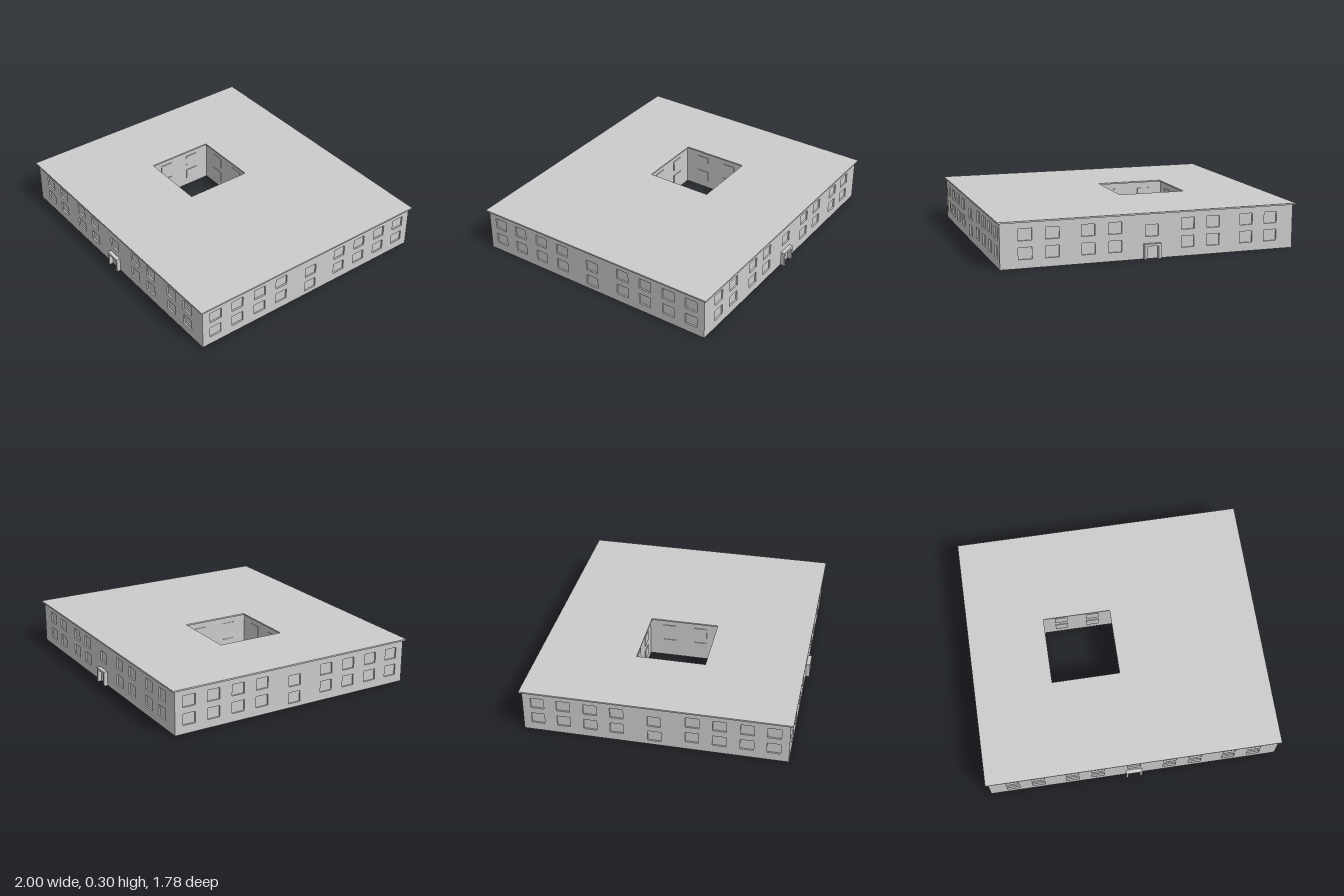
import * as THREE from 'three';

const WALL_H = 0.29, HALF_X = 0.985, HALF_Z = 0.866;
const WIN_W = 0.088, WIN_H = 0.075, RECESS = 0.01;
const material = new THREE.MeshStandardMaterial({ color: 0xcccccc, side: THREE.DoubleSide });

function part(name, geometry, x = 0, y = 0, z = 0) {
  const mesh = new THREE.Mesh(geometry, material);
  mesh.name = name;
  mesh.position.set(x, y, z);
  return mesh;
}

// Closed rectangle outline, used for shapes and holes
function rect(Type, x0, y0, x1, y1) {
  return new Type([[x0, y0], [x1, y0], [x1, y1], [x0, y1]].map(p => new THREE.Vector2(...p)));
}

// Box without its front (4) and, optionally, back (5) face
function openBox(w, h, d, dropped) {
  const box = new THREE.BoxGeometry(w, h, d);
  const index = Array.from(box.index.array);
  box.setIndex(index.filter((_, i) => !dropped.includes(Math.floor(i / 6))));
  box.clearGroups();
  return box;
}

// Doorway surround standing out from the wall plane z = 0
function makePortal() {
  const portal = new THREE.Group();
  portal.name = 'portal';
  const w = 0.11, h = 0.1, iw = 0.08, ih = 0.085, depth = 0.026;
  const face = rect(THREE.Shape, -w / 2, 0, w / 2, h);
  face.holes.push(rect(THREE.Path, -iw / 2, 0.0005, iw / 2, ih));
  portal.add(part('portalFace', new THREE.ShapeGeometry(face), 0, 0, depth));
  portal.add(part('portalSides', openBox(w, h, depth, [3, 4, 5]), 0, h / 2, depth / 2));
  portal.add(part('doorRecess', openBox(iw, ih, depth, [3, 4]), 0, ih / 2, depth / 2));
  return portal;
}

// Thin outer wall facing +z with recessed windows and an optional doorway
function outerWall(name, halfWidth, columns, centreRows, hasDoor) {
  const wall = new THREE.Group();
  wall.name = name;
  const shape = rect(THREE.Shape, -halfWidth, 0, halfWidth, WALL_H);
  const windows = centreRows.map(y => [0, y]);
  for (const x of columns)
    for (const side of [-1, 1])
      for (const y of [0.094, 0.212]) windows.push([side * x, y]);

  for (const [x, y] of windows) {
    shape.holes.push(rect(THREE.Path, x - WIN_W / 2, y - WIN_H / 2, x + WIN_W / 2, y + WIN_H / 2));
    wall.add(part('window', openBox(WIN_W, WIN_H, RECESS, [4]), x, y, -RECESS / 2));
  }
  if (hasDoor) {
    shape.holes.push(rect(THREE.Path, -0.055, 0.0005, 0.055, 0.1));
    wall.add(makePortal());
  }
  wall.add(part('wallSurface', new THREE.ShapeGeometry(shape)));
  return wall;
}

// Courtyard wall facing +z with shallow window panels
function courtyardWall(width) {
  const wall = new THREE.Group();
  wall.name = 'courtyardWall';
  wall.add(part('wallSurface', new THREE.PlaneGeometry(width, WALL_H), 0, WALL_H / 2));
  for (const x of [-0.11, 0.11])
    for (const y of [0.094, 0.212])
      wall.add(part('courtyardWindow', openBox(WIN_W, WIN_H, 0.005, [5]), x, y, 0.0025));
  return wall;
}

export function createModel() {
  const building = new THREE.Group();
  building.name = 'courtyardBuilding';

  // Outer walls: long walls with doors front and back, then the two sides
  for (const back of [0, 1]) {
    const long = outerWall(back ? 'backWall' : 'frontWall', HALF_X,
      [0.245, 0.42, 0.652, 0.825], [0.182], true);
    long.rotation.y = back * Math.PI;
    long.position.z = back ? -HALF_Z : HALF_Z;
    building.add(long);

    const side = outerWall(back ? 'rightWall' : 'leftWall', HALF_Z,
      [0.245, 0.42, 0.597, 0.768], [0.067, 0.182], false);
    side.rotation.y = (back ? -1 : 1) * Math.PI / 2;
    side.position.x = back ? -HALF_X : HALF_X;
    building.add(side);
  }

  // Courtyard: four walls looking inward, set back under the roof edge
  const courtyard = new THREE.Group();
  courtyard.name = 'courtyard';
  courtyard.position.x = -0.235;
  const half = 0.248;
  for (let i = 0; i < 4; i++) {
    const wall = courtyardWall(half * 2);
    const angle = i * Math.PI / 2;
    wall.rotation.y = angle;
    wall.position.set(-Math.sin(angle) * half, 0, -Math.cos(angle) * half);
    courtyard.add(wall);
  }
  building.add(courtyard);

  // Flat overhanging roof with the courtyard opening
  const roofShape = rect(THREE.Shape, -1, -0.883, 1, 0.883);
  roofShape.holes.push(rect(THREE.Path, -0.468, -0.233, -0.002, 0.233));
  const roof = part('roof', new THREE.ExtrudeGeometry(roofShape, { depth: 0.01, bevelEnabled: false }), 0, WALL_H, 0);
  roof.rotation.x = -Math.PI / 2;
  building.add(roof);

  return building;
}
